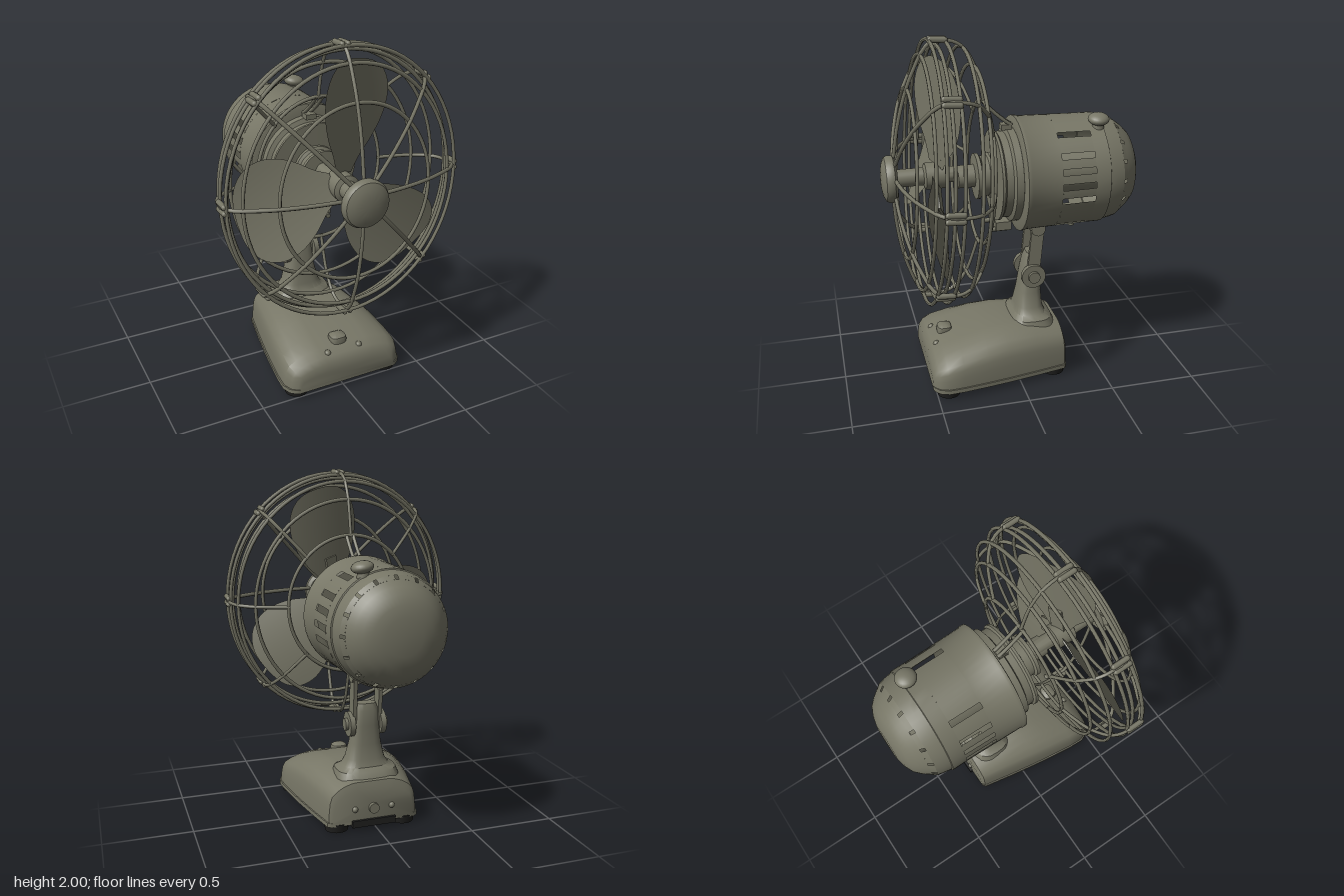
import * as THREE from 'three';
import { toCreasedNormals } from 'three/addons/utils/BufferGeometryUtils.js';

const V3 = (x, y, z) => new THREE.Vector3(x, y, z);
const RAD = Math.PI / 180;

// Closed solid through rings of equal length, capped at both ends
function loft(rings) {
  const n = rings[0].length, pos = [], idx = [];
  rings.forEach(r => r.forEach(p => pos.push(p.x, p.y, p.z)));
  for (let i = 0; i < rings.length - 1; i++) {
    for (let j = 0; j < n; j++) {
      const k = (j + 1) % n, a = i * n + j, b = i * n + k;
      idx.push(a, b, a + n, b, b + n, a + n);
    }
  }
  [0, rings.length - 1].forEach((r, end) => {
    const c = new THREE.Vector3();
    rings[r].forEach(p => c.addScaledVector(p, 1 / n));
    const ci = pos.length / 3;
    pos.push(c.x, c.y, c.z);
    for (let j = 0; j < n; j++) {
      const a = r * n + j, b = r * n + (j + 1) % n;
      idx.push(ci, end ? a : b, end ? b : a);
    }
  });
  const g = new THREE.BufferGeometry();
  g.setAttribute('position', new THREE.Float32BufferAttribute(pos, 3));
  g.setIndex(idx);
  return toCreasedNormals(g, 0.7);
}

export function createModel() {
  const paint = new THREE.MeshStandardMaterial({ color: 0x777666, side: THREE.DoubleSide });
  paint.name = 'grey green enamel';
  const rubber = new THREE.MeshStandardMaterial({ color: 0x20201f });
  rubber.name = 'black rubber';

  const root = new THREE.Group();
  root.name = 'deskFan';
  const add = (parent, name, geo, x = 0, y = 0, z = 0, mat = paint) => {
    const m = new THREE.Mesh(geo, mat);
    m.name = name;
    m.position.set(x, y, z);
    parent.add(m);
    return m;
  };
  // Profile of [radius, z] pairs turned around the z axis
  const turned = (pts, start = 0, len = 360, seg = 48) =>
    toCreasedNormals(new THREE.LatheGeometry(pts.map(p => new THREE.Vector2(...p)), seg,
      start * RAD, len * RAD).rotateX(Math.PI / 2), 0.6);
  const wire = (pts, r = 0.01) => new THREE.TubeGeometry(new THREE.CatmullRomCurve3(pts), 18, r, 6);
  const cx = 0.015;

  // Base: tapered body, lower at the front. Stations are [z, half width, top height]
  const base = new THREE.Group();
  base.name = 'base';
  root.add(base);
  const half = [[1, 0], [1, 0.1], [0.985, 0.35], [0.965, 0.54], [0.92, 0.7], [0.8, 0.83], [0.66, 0.92], [0.5, 0.98], [0.4, 1]];
  const section = half.concat(half.slice().reverse().map(([x, y]) => [-x, y]));
  const stations = [[-0.29, 0.24, 0.24], [-0.275, 0.262, 0.285], [-0.1, 0.295, 0.315], [0.08, 0.325, 0.317],
    [0.2, 0.342, 0.302], [0.35, 0.36, 0.268], [0.44, 0.364, 0.24], [0.49, 0.345, 0.213],
    [0.515, 0.315, 0.18], [0.522, 0.3, 0.13]];
  add(base, 'baseBody', loft(stations.map(([z, w, h]) =>
    section.map(([x, y]) => V3(0.02 + x * w, 0.05 + y * (h - 0.05), z)))));
  add(base, 'baseRim', loft([0.04, 0.065].map(y => {
    const side = stations.map(([z, w]) => V3(0.02 + w + 0.008, y, z));
    return side.slice().reverse().concat(side.map(p => V3(0.04 - p.x, y, p.z)));
  })));
  for (const s of [-1, 1]) {
    for (const [x, z] of [[0.285, 0.43], [0.2, -0.22]]) {
      add(base, 'foot', new THREE.CylinderGeometry(0.075, 0.066, 0.05, 20), 0.02 + s * x, 0.025, z, rubber);
    }
    add(base, 'switchStud', new THREE.SphereGeometry(0.02, 12, 8), 0.015 + s * 0.1, 0.217, 0.465);
    add(base, 'rearScrew', new THREE.SphereGeometry(0.018, 12, 8), 0.02 + s * 0.11, 0.13, -0.288);
  }
  const knob = [[0.036, 0.2, 0.04], [0.05, 0.255, 0.045], [0.046, 0.275, 0.04], [0.025, 0.287, 0.022]];
  const oval = (w, d, y, x0, z0, power) => Array.from({ length: 24 }, (_, i) => {
    const a = i / 24 * Math.PI * 2, c = Math.cos(a), s = Math.sin(a);
    return V3(x0 + w * Math.sign(c) * Math.abs(c) ** power, y, z0 - d * Math.sign(s) * Math.abs(s) ** power);
  });
  add(base, 'switchKnob', loft(knob.map(([w, y, d]) => oval(w, d, y, 0.01, 0.4, 0.6))));
  add(base, 'cordSocket', new THREE.BoxGeometry(0.26, 0.04, 0.06), 0.02, 0.045, -0.275, rubber);
  add(base, 'cordPlug', new THREE.CylinderGeometry(0.03, 0.03, 0.03, 14).rotateX(Math.PI / 2), 0.02, 0.13, -0.295);

  // Column: flared foot narrowing to the tilt joint. Stations are [y, half width, half depth, z]
  const stand = new THREE.Group();
  stand.name = 'stand';
  root.add(stand);
  const column = [[0.28, 0.19, 0.14, -0.12], [0.322, 0.175, 0.12, -0.12], [0.34, 0.135, 0.092, -0.115],
    [0.38, 0.112, 0.08, -0.113], [0.47, 0.09, 0.068, -0.118], [0.58, 0.077, 0.058, -0.125],
    [0.67, 0.07, 0.05, -0.135], [0.71, 0.055, 0.036, -0.137]];
  add(stand, 'column', loft(column.map(([y, w, d, z]) => oval(w, d, y, cx, z, 0.65))));
  for (const s of [-1, 1]) {
    const arm = add(stand, 'forkArm', new THREE.BoxGeometry(0.022, 0.36, 0.075), cx + s * 0.075, 0.73, -0.14);
    arm.rotation.x = -0.09;
    add(stand, 'tiltKnob', new THREE.CylinderGeometry(0.072, 0.072, 0.03, 24).rotateZ(Math.PI / 2),
      cx + s * 0.092, 0.585, -0.125);
    add(stand, 'tiltBolt', new THREE.CylinderGeometry(0.035, 0.035, 0.03, 16).rotateZ(Math.PI / 2),
      cx + s * 0.11, 0.585, -0.125);
    add(stand, 'pivotBoss', new THREE.CylinderGeometry(0.042, 0.042, 0.035, 20).rotateZ(Math.PI / 2),
      cx + s * 0.078, 0.88, -0.153);
  }
  add(stand, 'pivotBlock', new THREE.BoxGeometry(0.14, 0.05, 0.07), cx, 0.88, -0.153);

  // Motor housing: turned shells with strips left open as vents
  const motor = new THREE.Group();
  motor.name = 'motor';
  motor.position.set(cx, 1.205, 0);
  root.add(motor);
  const vented = (name, pts, slots, width) => slots.forEach((a, i) => {
    const next = i + 1 < slots.length ? slots[i + 1] : slots[0] + 360;
    add(motor, name, turned(pts, a + width / 2, next - a - width, Math.max(2, Math.ceil((next - a) / 6))));
  });
  add(motor, 'housingFront', turned([[0.321, -0.225], [0.325, -0.06], [0.33, -0.05], [0.33, -0.03], [0.3, -0.022], [0.25, -0.02]]));
  const right = [-58, -14, 1, 16, 31.5, 55].map(e => 90 + e);
  const slots = right.concat(right.map(a => 360 - a)).sort((a, b) => a - b);
  vented('ventedBand', [[0.317, -0.415], [0.321, -0.225]], slots, 6.2);
  add(motor, 'housingRear', turned([[0.294, -0.585], [0.304, -0.54], [0.31, -0.503], [0.317, -0.5], [0.317, -0.415]]));
  vented('ventedDome', [[0.275, -0.61], [0.294, -0.585]], Array.from({ length: 16 }, (_, i) => i * 22.5), 3.5);
  add(motor, 'domeCap', turned([[0, -0.722], [0.1, -0.72], [0.16, -0.707], [0.21, -0.684], [0.245, -0.65], [0.275, -0.61]]));
  add(motor, 'motorCore', turned([[0, -0.6], [0.15, -0.6], [0.15, -0.02]]));
  add(motor, 'collar', turned([[0.25, -0.03], [0.27, -0.02], [0.27, 0.02], [0.245, 0.03], [0.245, 0.07], [0.258, 0.08], [0.258, 0.095], [0.13, 0.1]]));
  add(motor, 'neck', turned([[0.13, 0.09], [0.13, 0.12], [0.115, 0.13], [0.115, 0.17], [0.13, 0.18], [0.13, 0.2], [0.06, 0.205], [0.06, 0.3], [0, 0.3]], 0, 360, 32));
  const cap = add(motor, 'oilerKnob', new THREE.SphereGeometry(0.06, 24, 14).scale(1, 0.55, 1), 0.138, 0.325, -0.475);
  cap.rotation.z = -0.15;
  add(motor, 'oilerStem', new THREE.CylinderGeometry(0.03, 0.036, 0.06, 14), 0.132, 0.295, -0.475);
  add(motor, 'lowerScrew', new THREE.CylinderGeometry(0.018, 0.018, 0.06, 12), 0, -0.325, -0.38);
  // Twin strap joining the guard to the motor, and the lower bracket
  for (const s of [-1, 1]) {
    add(motor, 'guardStrap', wire([[0.29, -0.01], [0.31, 0.02], [0.36, 0.08], [0.43, 0.15]].map(([y, z]) => V3(s * 0.02, y, z)), 0.011));
    add(motor, 'bracketScrew', new THREE.CylinderGeometry(0.014, 0.014, 0.1, 10).rotateX(Math.PI / 2), s * 0.07, -0.305, 0.08);
  }
  add(motor, 'strapFoot', new THREE.BoxGeometry(0.06, 0.03, 0.06), 0, 0.28, 0.02);
  add(motor, 'lowerBracket', new THREE.BoxGeometry(0.2, 0.05, 0.09), 0, -0.28, 0.055);

  // Shaft and front boss
  const hub = new THREE.Group();
  hub.name = 'hub';
  hub.position.set(0.01, 1.228, 0);
  root.add(hub);
  add(hub, 'shaft', turned([[0.045, 0.2], [0.045, 0.36], [0.075, 0.365], [0.075, 0.48], [0.05, 0.49], [0.05, 0.65]], 0, 360, 28));
  add(hub, 'frontBoss', turned([[0, 0.64], [0.11, 0.64], [0.13, 0.655], [0.132, 0.68], [0.122, 0.7], [0.09, 0.715], [0.05, 0.722], [0, 0.725]]));

  // Blades and guard lean back slightly and are a little taller than wide
  const head = new THREE.Group();
  head.name = 'fanHead';
  head.position.set(0.01, 1.24, 0.43);
  head.rotation.x = -0.057;
  head.scale.y = 1.1;
  root.add(head);

  // Blade: plane whose half width follows a curve, pitched across its width
  const outline = new THREE.SplineCurve([[0.06, 0.05], [0.1, 0.13], [0.165, 0.22], [0.212, 0.32], [0.228, 0.42],
    [0.205, 0.51], [0.15, 0.57], [0.08, 0.597], [0.001, 0.603]].map(p => new THREE.Vector2(...p)));
  const blade = new THREE.PlaneGeometry(2, 1, 12, 28);
  const bp = blade.attributes.position;
  for (let i = 0; i < bp.count; i++) {
    const u = bp.getX(i), p = outline.getPoint(Math.min(1, Math.max(0, bp.getY(i) + 0.5)));
    const x = u * p.x;
    bp.setXYZ(i, x, p.y, -x * (0.48 - 0.25 * p.y) + 0.35 * x * x - 0.01);
  }
  blade.computeVertexNormals();
  for (const a of [-12, 99, 227]) {
    const m = add(head, 'blade', blade);
    m.rotation.z = a * RAD;
    const arm = add(head, 'bladeArm', new THREE.BoxGeometry(0.08, 0.2, 0.014).rotateY(0.4).translate(0, 0.12, -0.018));
    arm.rotation.z = a * RAD;
  }

  // Guard rings as [radius, z]
  for (const [r, z] of [[0.665, -0.045], [0.668, 0.045], [0.645, 0], [0.595, 0.085], [0.43, 0.155],
    [0.638, -0.14], [0.55, -0.205], [0.37, -0.265]]) {
    add(head, 'guardRing', new THREE.TorusGeometry(r, 0.0105, 6, 72), 0, 0, z);
  }
  // Guard spokes with rim clips
  const front = [[0.09, 0.225], [0.25, 0.205], [0.42, 0.165], [0.54, 0.118], [0.63, 0.07], [0.672, 0.02], [0.672, -0.04]];
  const back = [[0.672, 0.03], [0.668, -0.08], [0.638, -0.142], [0.55, -0.207], [0.45, -0.243], [0.36, -0.268]];
  for (let i = 0; i < 8; i++) {
    const g = new THREE.Group();
    g.name = 'guardSpoke';
    g.rotation.z = i * Math.PI / 4;
    head.add(g);
    add(g, 'frontWire', wire(front.map(([r, z]) => V3(r, 0, z)), 0.011));
    add(g, 'rearWire', wire(back.map(([r, z]) => V3(r, 0, z))));
    for (const s of [-1, 1]) {
      add(g, 'rimClip', new THREE.CapsuleGeometry(0.015, 0.08, 4, 8).rotateX(Math.PI / 2), 0.675, s * 0.016, 0);
    }
  }
  return root;
}
